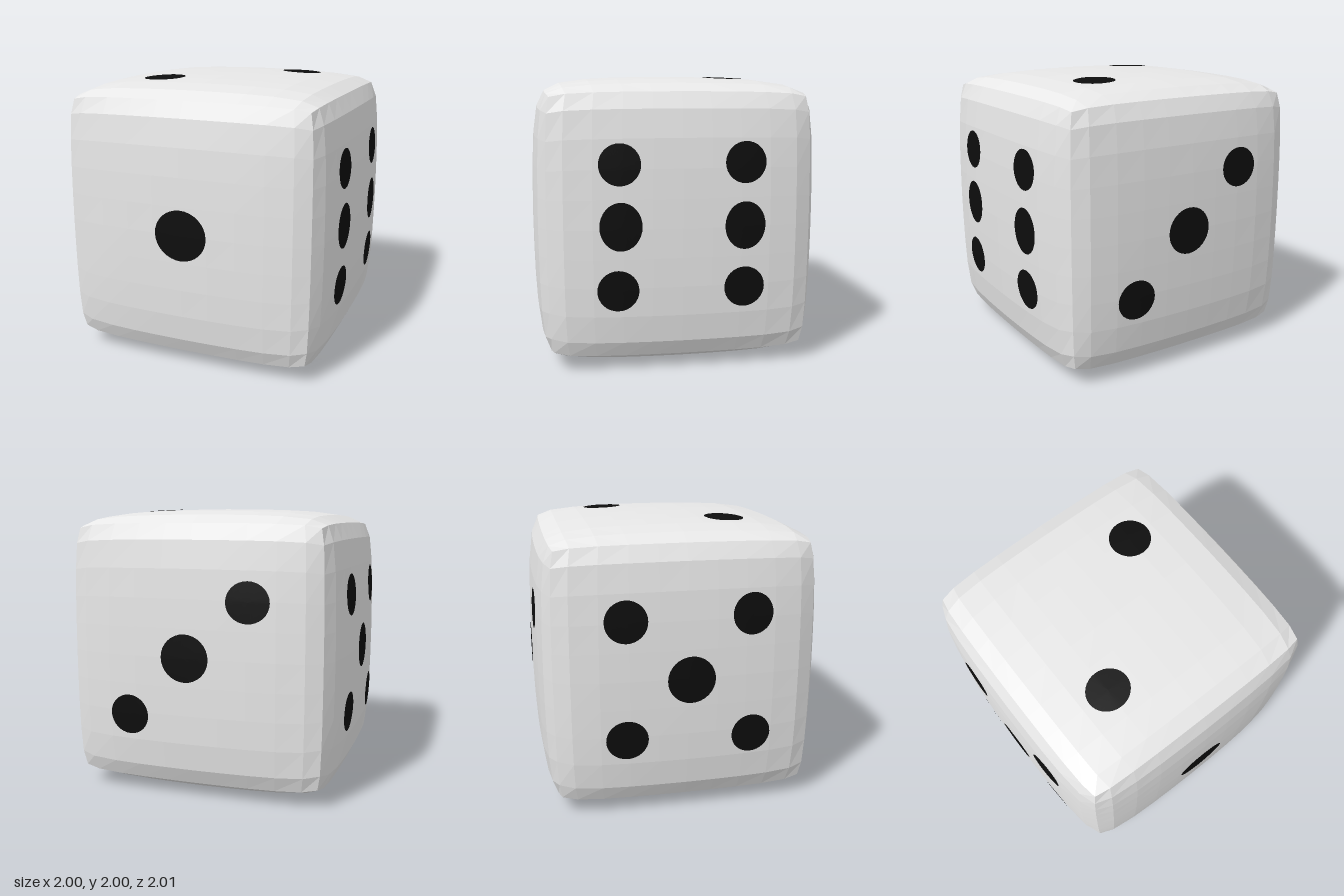
import * as THREE from 'three';
import { mergeGeometries } from 'three/addons/utils/BufferGeometryUtils.js';

// Half grid of one face, and how far the surface drops at each grid line
const GRID = [0, 0.2, 0.4, 0.6, 0.79, 0.9];
const DROP = [0, 0.002, 0.007, 0.018, 0.045, 0.1];
const N = GRID.length - 1;
const PIP_LIFT = 0.004;

// Drop at any distance from the face centre, linear between grid lines
function dropAt(t) {
  const d = Math.abs(t);
  let i = 0;
  while (i < N - 1 && d > GRID[i + 1]) i++;
  return THREE.MathUtils.mapLinear(d, GRID[i], GRID[i + 1], DROP[i], DROP[i + 1]);
}

const height = (a, b) => 1 - a - b + 6.5 * a * b;

// Bulged square face looking along +z; its borders meet the neighbouring faces exactly
function faceGeometry() {
  const geo = new THREE.PlaneGeometry(2, 2, 2 * N, 2 * N);
  const pos = geo.attributes.position;
  for (let v = 0; v < pos.count; v++) {
    const i = (v % (2 * N + 1)) - N;
    const j = N - Math.floor(v / (2 * N + 1));
    const a = DROP[Math.abs(i)];
    const b = DROP[Math.abs(j)];
    const pull = 0.35 / 0.9;
    pos.setXYZ(
      v,
      Math.sign(i) * GRID[Math.abs(i)] * (1 - pull * b),
      Math.sign(j) * GRID[Math.abs(j)] * (1 - pull * a),
      height(a, b)
    );
  }
  return geo;
}

// Thin round spot that follows the bulge of the face
function pipGeometry(x, y, rx, ry) {
  const geo = new THREE.RingGeometry(0, 1, 32, 4);
  const pos = geo.attributes.position;
  for (let v = 0; v < pos.count; v++) {
    const px = x + pos.getX(v) * rx;
    const py = y + pos.getY(v) * ry;
    pos.setXYZ(v, px, py, height(dropAt(px), dropAt(py)) + PIP_LIFT);
  }
  geo.computeVertexNormals();
  return geo;
}

// Each face: its right and up directions, and pips as [x, y, radiusX, radiusY]
const FACES = [
  { name: 'frontPips', right: [1, 0, 0], up: [0, 1, 0], pips: [[0.01, 0, 0.19, 0.18]] },
  {
    name: 'backPips', right: [-1, 0, 0], up: [0, 1, 0],
    pips: [[-0.03, 0, 0.17, 0.165], [0.41, 0.39, 0.15, 0.14], [-0.45, -0.42, 0.143, 0.14]],
  },
  {
    name: 'leftPips', right: [0, 0, -1], up: [0, 1, 0],
    pips: [
      [-0.42, 0.43, 0.14, 0.14], [-0.415, 0.02, 0.142, 0.163], [-0.435, -0.415, 0.14, 0.14],
      [0.425, 0.435, 0.14, 0.14], [0.425, 0.01, 0.14, 0.163], [0.425, -0.415, 0.14, 0.14],
    ],
  },
  {
    name: 'rightPips', right: [0, 0, 1], up: [0, 1, 0],
    pips: [
      [-0.42, 0.41, 0.145, 0.145], [0.44, 0.425, 0.14, 0.145], [0.02, -0.01, 0.165, 0.165],
      [-0.42, -0.42, 0.145, 0.14], [0.45, -0.44, 0.14, 0.14],
    ],
  },
  {
    name: 'topPips', right: [1, 0, 0], up: [0, 0, -1],
    pips: [[0.41, 0.39, 0.148, 0.145], [-0.39, -0.39, 0.152, 0.14]],
  },
  {
    name: 'bottomPips', right: [1, 0, 0], up: [0, 0, 1],
    pips: [
      [0.43, 0.43, 0.145, 0.14], [-0.4, -0.4, 0.145, 0.14],
      [0.45, -0.41, 0.145, 0.14], [-0.41, 0.45, 0.145, 0.14],
    ],
  },
];

export function createModel() {
  const white = new THREE.MeshStandardMaterial({ color: 0xe7e7e7, flatShading: true });
  white.name = 'white body';
  const black = new THREE.MeshStandardMaterial({ color: 0x0d0d0d });
  black.name = 'black pips';

  const die = new THREE.Group();
  die.name = 'die';
  const sides = [];

  for (const { name, right, up, pips } of FACES) {
    const r = new THREE.Vector3(...right);
    const u = new THREE.Vector3(...up);
    const turn = new THREE.Matrix4().makeBasis(r, u, r.clone().cross(u));
    sides.push(faceGeometry().applyMatrix4(turn));

    const spots = mergeGeometries(pips.map((p) => pipGeometry(...p))).applyMatrix4(turn);
    const mesh = new THREE.Mesh(spots, black);
    mesh.name = name;
    die.add(mesh);
  }

  const body = new THREE.Mesh(mergeGeometries(sides).toNonIndexed(), white);
  body.geometry.computeVertexNormals();
  body.name = 'body';
  die.add(body);

  // Rest the die on the ground plane
  die.children.forEach((part) => part.position.setY(1));
  return die;
}
